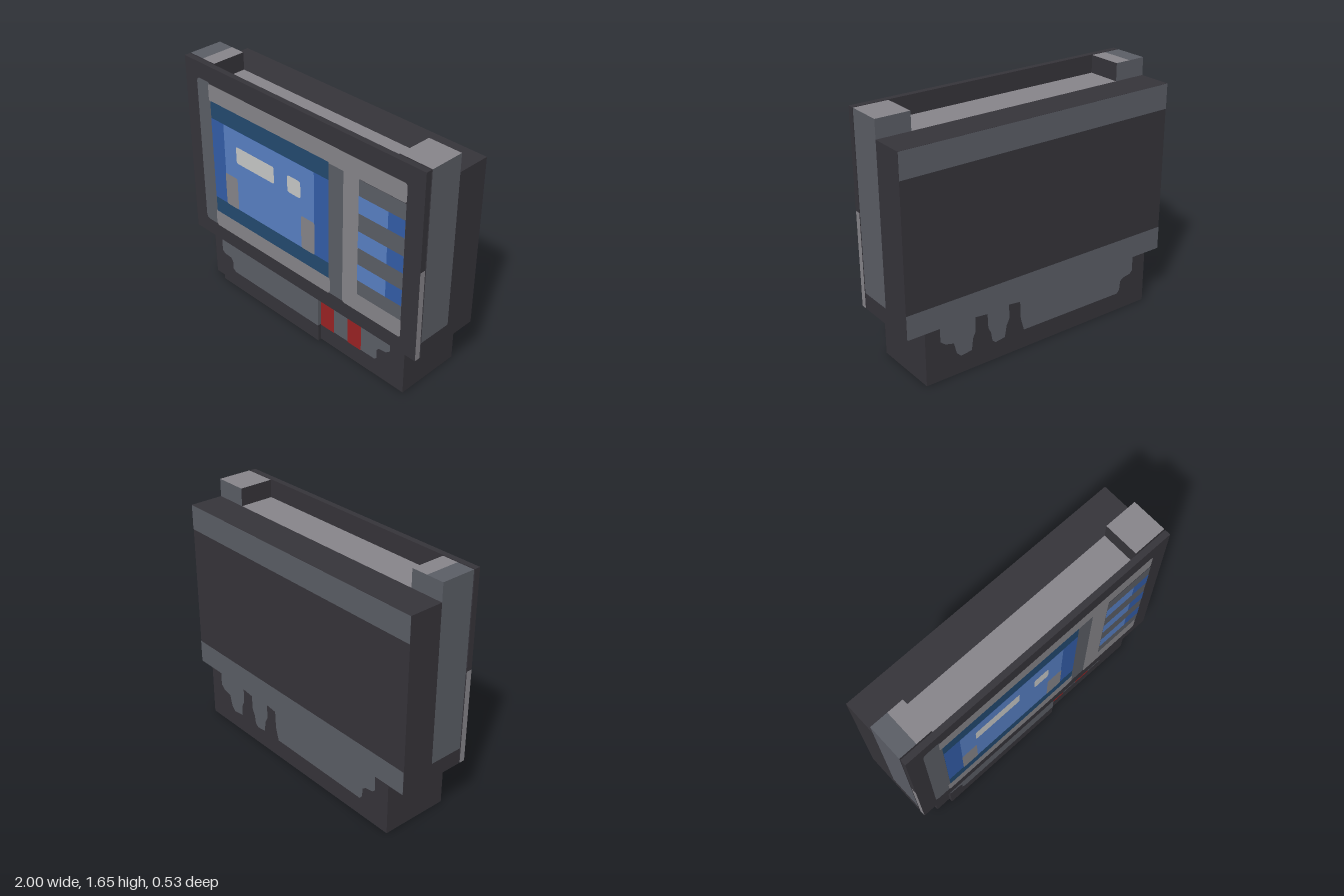
import * as THREE from 'three';

const mat = (name, color) => new THREE.MeshStandardMaterial({ name, color });

export function createModel() {
  const model = new THREE.Group();
  model.name = 'cartridgeDevice';
  const dark = mat('charcoal', 0x36343a);
  const slate = mat('slate grey', 0x5b5e66);
  const light = mat('light grey', 0x87858a);
  const navy = mat('dark blue', 0x234a70);
  const blue = mat('blue', 0x335da8);
  const sky = mat('light blue', 0x5880c4);
  const pale = mat('pale grey', 0xc8c9c8);
  const red = mat('red', 0x9a2223);

  const add = (parent, name, geo, material) => {
    const m = new THREE.Mesh(geo, material);
    m.name = name;
    parent.add(m);
    return m;
  };
  // box from its limits; materials in order +x -x +y -y +z -z
  const box = (name, x0, x1, y0, y1, z0, z1, material) => {
    const m = add(model, name, new THREE.BoxGeometry(x1 - x0, y1 - y0, z1 - z0), material);
    m.position.set((x0 + x1) / 2, (y0 + y1) / 2, (z0 + z1) / 2);
    return m;
  };
  // flat rectangle with rounded corners, facing +z
  const panel = (name, x0, x1, y0, y1, z, material, r = 0) => {
    const s = new THREE.Shape();
    if (r > 0) {
      s.moveTo(x0 + r, y0).lineTo(x1 - r, y0).quadraticCurveTo(x1, y0, x1, y0 + r);
      s.lineTo(x1, y1 - r).quadraticCurveTo(x1, y1, x1 - r, y1);
      s.lineTo(x0 + r, y1).quadraticCurveTo(x0, y1, x0, y1 - r);
      s.lineTo(x0, y0 + r).quadraticCurveTo(x0, y0, x0 + r, y0);
    } else {
      s.moveTo(x0, y0).lineTo(x1, y0).lineTo(x1, y1).lineTo(x0, y1);
    }
    return add(model, name, new THREE.ShapeGeometry(s, 4), material).translateZ(z);
  };
  // flat polygon, facing +z, or -z when back is set
  const patch = (name, pts, z, material, back = false) => {
    const s = new THREE.Shape(pts.map(([x, y]) => new THREE.Vector2(back ? -x : x, y)));
    const m = add(model, name, new THREE.ShapeGeometry(s), material);
    m.position.z = z;
    if (back) m.rotation.y = Math.PI;
    return m;
  };

  // main solids
  box('rearHousing', -1, 1, 0.36, 1.53, -0.26, -0.03, dark);
  box('middleSkirt', -1, 1, 0.36, 0.47, -0.03, 0.209, [dark, dark, dark, light, dark, dark]);
  box('middleHousing', -1, 1, 0.47, 1.53, -0.03, 0.209, [slate, slate, light, dark, dark, dark]);
  box('base', -0.88, 0.88, 0, 0.36, -0.26, 0.209, dark);
  box('basePlateLower', -0.77, 0.17, 0, 0.125, 0.209, 0.235, dark);
  box('basePlateUpper', -0.77, 0.17, 0.125, 0.36, 0.209, 0.235, [slate, dark, dark, dark, dark, dark]);

  // front plate floats just ahead of the housing
  box('frontPlateUpper', -1, 1, 1, 1.65, 0.217, 0.257, dark);
  box('frontPlateLower', -1, 1, 0.36, 1, 0.217, 0.257, [light, light, dark, light, dark, dark]);

  // raised posts at the top corners
  box('leftPost', 0.77, 1, 1.53, 1.65, -0.03, 0.209, [slate, dark, light, dark, dark, slate]);
  box('rightPostInner', -0.88, -0.77, 1.53, 1.65, -0.03, 0.209, [dark, slate, light, dark, dark, slate]);
  box('rightPostOuter', -1, -0.88, 1.53, 1.65, -0.03, 0.209, [dark, slate, slate, dark, dark, slate]);

  // frame around the screen
  const z1 = 0.2585, z2 = 0.2605, z3 = 0.2625;
  panel('frameSide', -0.89, -0.76, 0.475, 1.54, z1, slate, 0.035);
  panel('frameDivider', 0.28, 0.42, 0.475, 1.42, z1, slate, 0.02);
  panel('frameTop', -0.78, 0.88, 1.405, 1.53, z2, light, 0.02);
  panel('frameBottom', -0.78, 0.3, 0.47, 0.595, z2, light, 0.025);
  panel('frameColumn', 0.405, 0.535, 0.48, 1.43, z2, light, 0.02);
  panel('frameFoot', 0.405, 0.88, 0.47, 0.605, z2, light, 0.02);

  // screen
  panel('screenEdge', -0.765, 0.29, 0.59, 1.415, z3, navy);
  panel('screenBorder', -0.765, 0.29, 0.705, 1.295, z3 + 0.0015, blue);
  panel('screenCentre', -0.645, 0.17, 0.705, 1.295, z3 + 0.003, sky);
  panel('screenBarLong', -0.53, -0.18, 1.06, 1.18, z3 + 0.0045, pale, 0.015);
  panel('screenBarShort', -0.06, 0.055, 1.06, 1.18, z3 + 0.0045, pale, 0.02);
  for (const x of [-0.648, 0.057])
    panel('screenBlock', x, x + 0.117, 0.705, 0.94, z3 + 0.0045, light, 0.015);

  // striped side window
  panel('grilleBack', 0.53, 0.88, 0.6, 1.405, z3, slate);
  for (const y of [0.705, 0.94, 1.18]) {
    panel('grilleLight', 0.53, 0.755, y, y + 0.117, z3 + 0.0015, sky);
    panel('grilleBlue', 0.755, 0.88, y, y + 0.117, z3 + 0.0015, blue);
  }

  // base front markings
  patch('baseInlayRight', [[-0.77, 0.36], [-0.77, 0.25], [-0.75, 0.23], [-0.685, 0.225], [-0.665, 0.2],
    [-0.665, 0.145], [-0.64, 0.125], [0.17, 0.125], [0.17, 0.36]], 0.237, slate);
  patch('baseInlayLeft', [[0.17, 0.36], [0.17, 0.125], [0.64, 0.125], [0.658, 0.14], [0.658, 0.205],
    [0.675, 0.225], [0.735, 0.235], [0.765, 0.26], [0.765, 0.36]], 0.211, slate);
  for (const x of [0.175, 0.41]) panel('redStripe', x, x + 0.117, 0.122, 0.36, 0.213, red);

  // rear bands and base markings
  const zb = -0.262;
  for (const [y0, y1] of [[1.36, 1.53], [0.36, 0.52]])
    patch('rearBand', [[-1, y0], [1, y0], [1, y1], [-1, y1]], zb, slate, true);
  patch('rearInlay', [[0.775, 0.36], [0.775, 0.27], [0.74, 0.24], [0.68, 0.225], [0.66, 0.15],
    [0.63, 0.12], [0.55, 0.13], [0.54, 0.21], [0.52, 0.25], [0.52, 0.35],
    [0.43, 0.34], [0.425, 0.24], [0.405, 0.2], [0.395, 0.14], [0.37, 0.12],
    [0.3, 0.13], [0.285, 0.21], [0.265, 0.25], [0.265, 0.35],
    [0.18, 0.34], [0.175, 0.22], [0.15, 0.13], [-0.64, 0.125], [-0.66, 0.15], [-0.665, 0.21],
    [-0.69, 0.23], [-0.75, 0.24], [-0.77, 0.26], [-0.77, 0.36]], zb, slate, true);

  return model;
}
